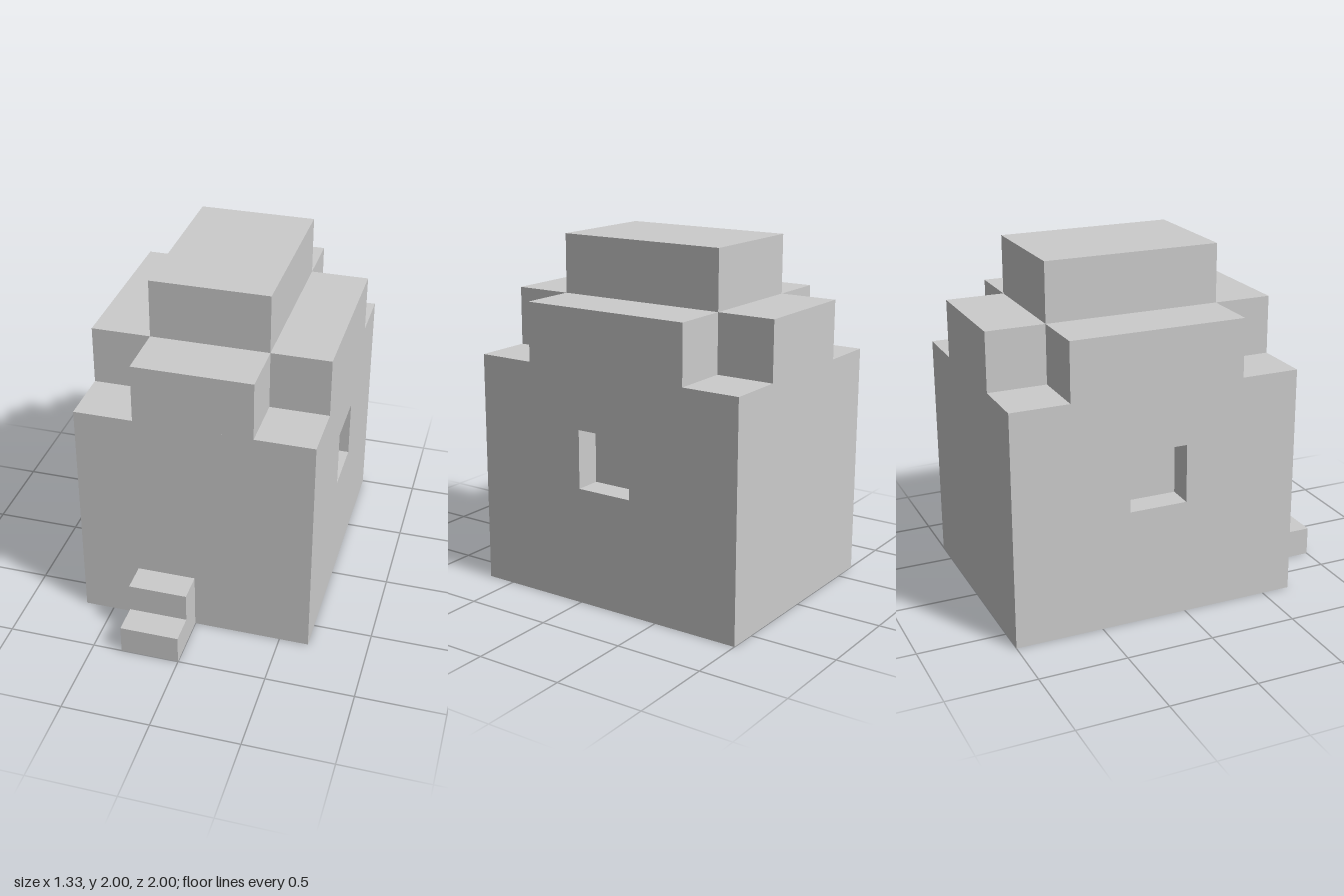
import * as THREE from 'three';

const U = 1 / 3; // one block
const RECESS = 0.15; // window depth
const material = new THREE.MeshStandardMaterial({ color: 0xcccccc, flatShading: true });

function addMesh(group, name, geometry) {
  const mesh = new THREE.Mesh(geometry, material);
  mesh.name = name;
  group.add(mesh);
}

// Box given by its minimum and maximum corners
function boxBetween(x0, x1, y0, y1, z0, z1) {
  return new THREE.BoxGeometry(x1 - x0, y1 - y0, z1 - z0)
    .translate((x0 + x1) / 2, (y0 + y1) / 2, (z0 + z1) / 2);
}

const path = (points) => points.map(([z, y]) => new THREE.Vector2(z, y));

// Side profile in (z, y), extruded across from x0 to x1
function extrudeAcross(profile, x0, x1, hole) {
  const shape = new THREE.Shape(path(profile));
  if (hole) shape.holes.push(new THREE.Path(path(hole)));
  return new THREE.ExtrudeGeometry(shape, { depth: x1 - x0, bevelEnabled: false })
    .rotateY(-Math.PI / 2)
    .translate(x1, 0, 0);
}

export function createModel() {
  const group = new THREE.Group();

  // Body: stepped profile, solid core plus side walls with window recesses
  const body = [
    [-3 * U, 0], [2 * U, 0], [2 * U, 4 * U], [U, 4 * U],
    [U, 5 * U], [-2 * U, 5 * U], [-2 * U, 4 * U], [-3 * U, 4 * U],
  ];
  const windowHole = [[-U, 2 * U], [-U, 3 * U], [0, 3 * U], [0, 2 * U]];
  const half = 2 * U;
  const core = half - RECESS;
  addMesh(group, 'houseCore', extrudeAcross(body, -core, core));
  addMesh(group, 'leftWall', extrudeAcross(body, core, half, windowHole));
  addMesh(group, 'rightWall', extrudeAcross(body, -half, -core, windowHole));

  // Raised gables between the notched corners
  addMesh(group, 'frontGable', boxBetween(-U, U, 4 * U, 5 * U, U, 2 * U));
  addMesh(group, 'backGable', boxBetween(-U, U, 4 * U, 5 * U, -3 * U, -2 * U));

  // Roof block
  addMesh(group, 'roofTop', boxBetween(-U, U, 5 * U, 6 * U, -2 * U, U));

  // Two entrance steps
  const steps = [
    [2 * U, 0], [3 * U, 0], [3 * U, U / 2],
    [2.5 * U, U / 2], [2.5 * U, U], [2 * U, U],
  ];
  addMesh(group, 'frontSteps', extrudeAcross(steps, -U, 0));

  return group;
}
